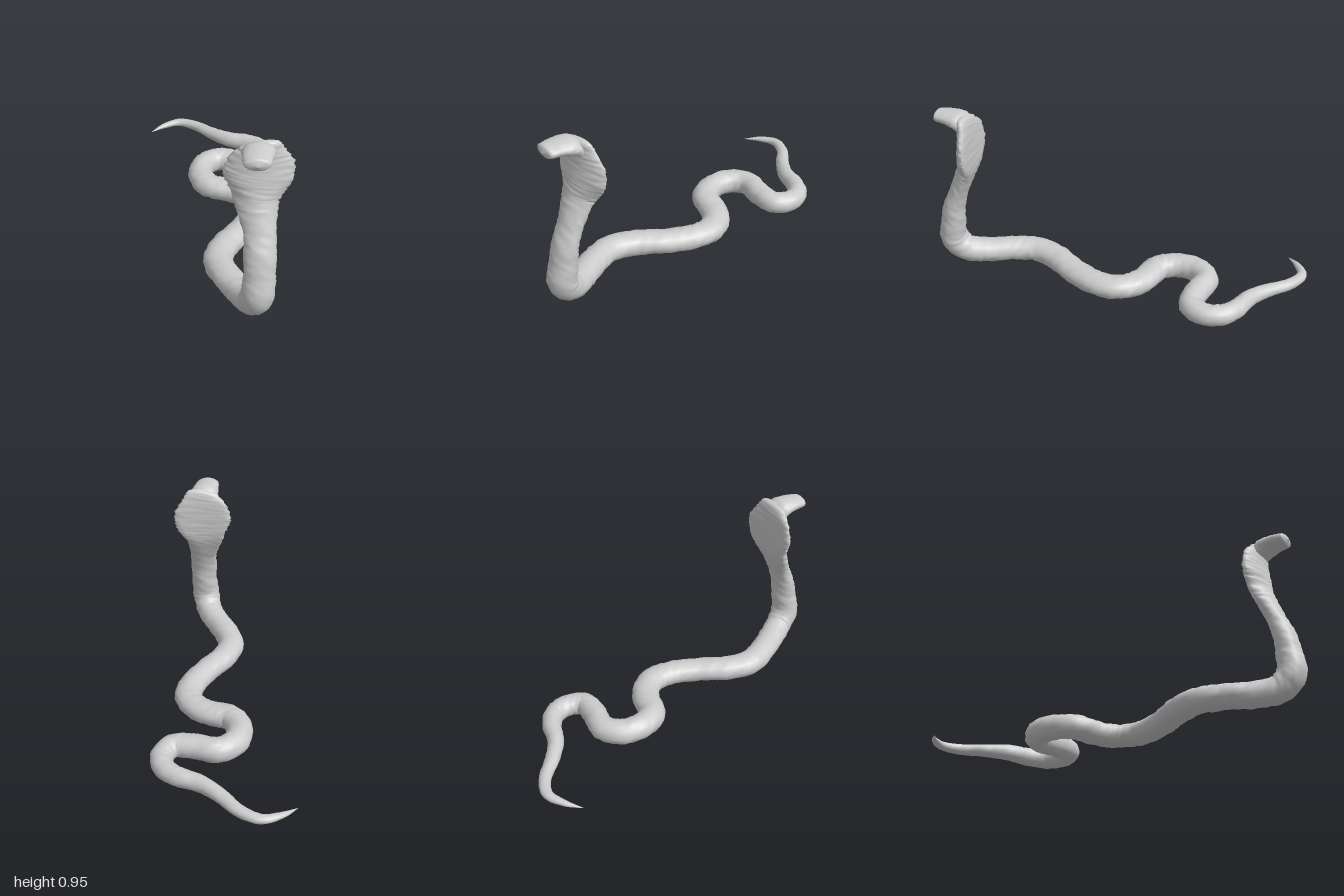
import * as THREE from 'three';

// Small repeatable bump value in the range -1..1 for a ring/segment pair
const bump = (i, j) => {
  const s = Math.sin(i * 12.9898 + j * 78.233) * 43758.5453;
  return (s - Math.floor(s)) * 2 - 1;
};

// Sweeps an oval section along rows of [x, y, z, half width, half depth, hood].
// "hood" pushes the sides of the section backward so they become thin wings.
function sweep(rows, steps, sides, rough) {
  const path = new THREE.CatmullRomCurve3(rows.map(r => new THREE.Vector3(r[0], r[1], r[2])));
  const sizes = new THREE.CatmullRomCurve3(
    rows.map(r => new THREE.Vector3(r[3], r[4], r[5] || 0)), false, 'catmullrom', 0.5);
  const xAxis = new THREE.Vector3(1, 0, 0);
  const up = new THREE.Vector3(0, 1, 0);
  const positions = [];
  const indices = [];
  for (let i = 0; i <= steps; i++) {
    const t = i / steps;
    const centre = path.getPoint(t);
    const size = sizes.getPoint(t);
    const tangent = path.getTangent(t);
    // Level sideways direction, turning to the x axis where the body rises
    const side = new THREE.Vector3().crossVectors(up, tangent).normalize();
    side.lerp(xAxis, THREE.MathUtils.smoothstep(tangent.y, 0.1, 0.6));
    side.addScaledVector(tangent, -side.dot(tangent)).normalize();
    const normal = new THREE.Vector3().crossVectors(tangent, side);
    for (let j = 0; j < sides; j++) {
      const a = (j / sides) * Math.PI * 2;
      const c = Math.cos(a);
      const s = Math.sin(a);
      const k = 1 + (rough * bump(i, j)) ;
      const p = centre.clone()
        .addScaledVector(side, Math.max(size.x, 0) * c * k)
        .addScaledVector(normal, Math.max(size.y, 0) * (s * k + size.z * c * c));
      positions.push(p.x, p.y, p.z);
      if (i < steps) {
        const n = (j + 1) % sides;
        const q = i * sides;
        indices.push(q + j, q + n, q + sides + j, q + n, q + sides + n, q + sides + j);
      }
    }
  }
  const geometry = new THREE.BufferGeometry();
  geometry.setAttribute('position', new THREE.Float32BufferAttribute(positions, 3));
  geometry.setIndex(indices);
  geometry.computeVertexNormals();
  return geometry;
}

export function createModel() {
  const group = new THREE.Group();
  group.name = 'snake';
  const skin = new THREE.MeshStandardMaterial({ color: 0xcccccc });
  skin.name = 'pale grey skin';

  const add = (name, geometry) => {
    const mesh = new THREE.Mesh(geometry, skin);
    mesh.name = name;
    group.add(mesh);
  };

  // Tail and coils lying on the ground, up to where the body rises
  const coils = [
    [-0.365, 0.052, -0.88, 0.001, 0.001],
    [-0.29, 0.06, -0.935, 0.017, 0.014],
    [-0.19, 0.065, -0.97, 0.027, 0.022],
    [-0.09, 0.065, -0.92, 0.032, 0.028],
    [0, 0.068, -0.82, 0.038, 0.034],
    [0.1, 0.07, -0.73, 0.043, 0.044],
    [0.22, 0.07, -0.675, 0.05, 0.05],
    [0.29, 0.07, -0.61, 0.056, 0.054],
    [0.305, 0.07, -0.52, 0.06, 0.056],
    [0.255, 0.075, -0.445, 0.062, 0.06],
    [0.15, 0.08, -0.45, 0.064, 0.064],
    [0.02, 0.08, -0.48, 0.066, 0.066],
    [-0.065, 0.08, -0.42, 0.068, 0.066],
    [-0.09, 0.08, -0.31, 0.07, 0.065],
    [-0.045, 0.075, -0.205, 0.072, 0.063],
    [0.06, 0.07, -0.16, 0.074, 0.061],
    [0.15, 0.069, -0.095, 0.075, 0.059],
    [0.19, 0.069, 0, 0.075, 0.059],
    [0.165, 0.07, 0.12, 0.074, 0.06],
    [0.09, 0.072, 0.25, 0.073, 0.061],
    [0, 0.075, 0.37, 0.074, 0.063],
    [-0.045, 0.08, 0.5, 0.075, 0.064],
    [-0.015, 0.085, 0.63, 0.074, 0.064],
  ];
  // Raised front of the body, widening into the hood
  const raised = [
    [0.045, 0.09, 0.76, 0.074, 0.065],
    [0.09, 0.115, 0.865, 0.076, 0.07],
    [0.108, 0.19, 0.925, 0.08, 0.073],
    [0.118, 0.3, 0.915, 0.076, 0.065],
    [0.12, 0.4, 0.9, 0.076, 0.057],
    [0.12, 0.5, 0.865, 0.077, 0.047, 0.1],
    [0.114, 0.6, 0.828, 0.094, 0.047, 0.4],
    [0.112, 0.65, 0.813, 0.111, 0.045, 0.7],
    [0.117, 0.7, 0.805, 0.138, 0.042, 0.8],
    [0.121, 0.75, 0.8, 0.16, 0.038, 0.85],
    [0.123, 0.8, 0.796, 0.16, 0.034, 0.85],
    [0.122, 0.85, 0.795, 0.142, 0.032, 0.75],
    [0.122, 0.9, 0.797, 0.106, 0.03, 0.5],
    [0.118, 0.93, 0.8, 0.078, 0.024, 0.2],
    [0.115, 0.948, 0.804, 0.001, 0.001],
  ];
  add('body', sweep([...coils, ...raised], 230, 18, 0.045));

  // Flat, blunt head reaching forward from the top of the hood
  add('head', sweep([
    [0.118, 0.84, 0.788, 0.001, 0.001],
    [0.117, 0.87, 0.795, 0.07, 0.03],
    [0.112, 0.907, 0.825, 0.078, 0.046],
    [0.102, 0.92, 0.88, 0.071, 0.037],
    [0.095, 0.92, 0.93, 0.065, 0.032],
    [0.093, 0.919, 0.958, 0.054, 0.029],
    [0.092, 0.918, 0.972, 0.001, 0.001],
  ], 30, 18, 0.035));

  return group;
}
